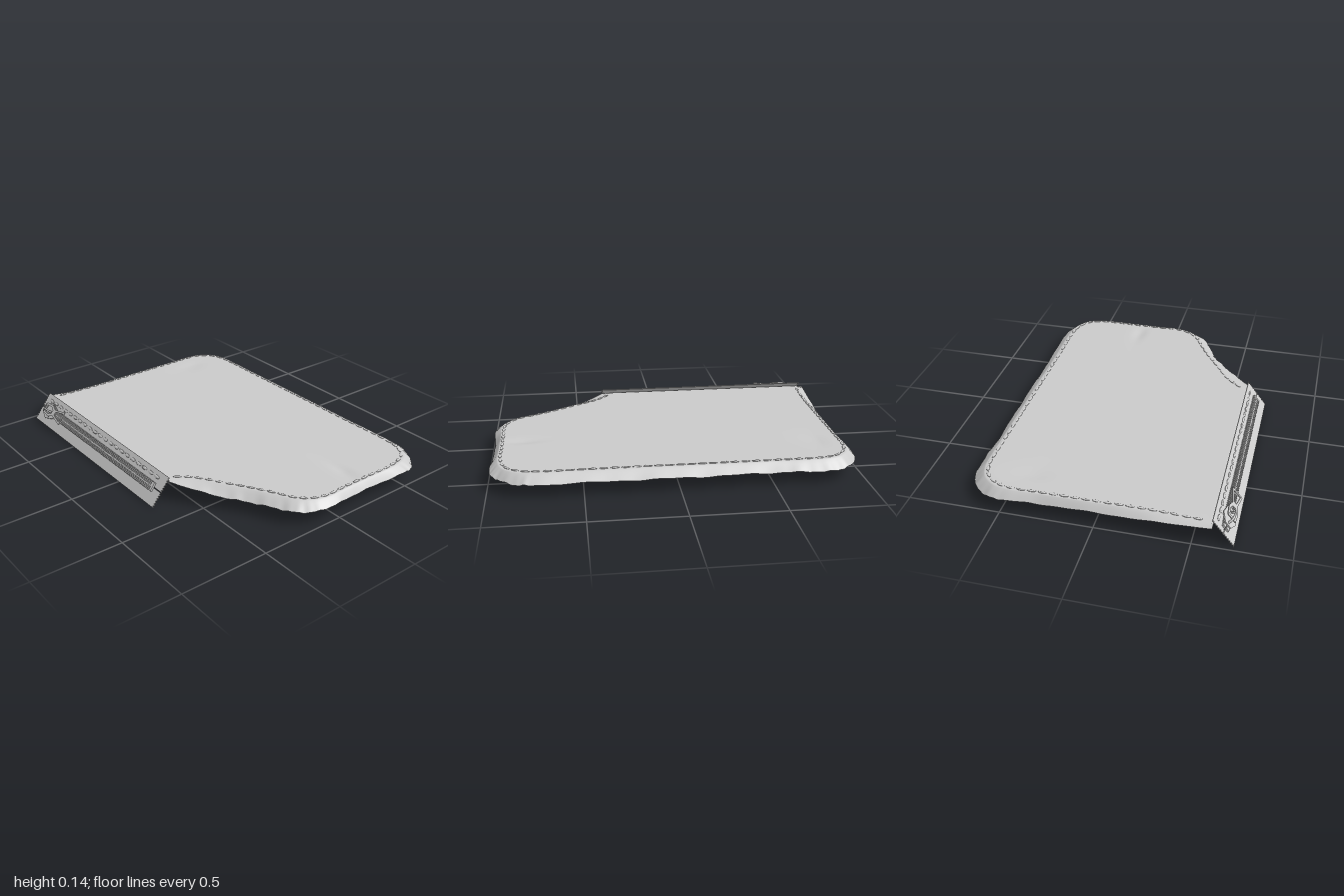
import * as THREE from 'three';

const TOP = 0.121;
const fabric = new THREE.MeshStandardMaterial({ color: 0xcccccc, side: THREE.DoubleSide });
const solid = new THREE.MeshStandardMaterial({ color: 0xcccccc });

// Paired outline points: rim x, rim z, crease x, crease z, rim drop
const OUTLINE = [
  [-0.60, -1.0, -0.60, -0.96, 0.005], [-0.3, -0.987, -0.3, -0.945, 0.03], [0, -0.977, 0, -0.945, 0.042],
  [0.3, -0.977, 0.3, -0.945, 0.045], [0.5, -0.988, 0.47, -0.945, 0.045], [0.58, -0.968, 0.55, -0.925, 0.05],
  [0.66, -0.905, 0.615, -0.87, 0.05], [0.70, -0.82, 0.645, -0.79, 0.053], [0.707, -0.68, 0.65, -0.67, 0.048],
  [0.70, -0.5, 0.65, -0.5, 0.048], [0.704, -0.2, 0.65, -0.2, 0.048], [0.705, 0.1, 0.65, 0.1, 0.048],
  [0.704, 0.4, 0.65, 0.4, 0.048], [0.707, 0.77, 0.65, 0.75, 0.046], [0.685, 0.85, 0.635, 0.83, 0.05],
  [0.62, 0.935, 0.59, 0.9, 0.047], [0.57, 0.978, 0.535, 0.93, 0.042], [0.5, 0.99, 0.45, 0.945, 0.04],
  [0.3, 0.98, 0.28, 0.945, 0.043], [0.1, 0.98, 0.1, 0.945, 0.042], [-0.05, 0.992, -0.05, 0.945, 0.036],
  [-0.15, 0.968, -0.13, 0.915, 0.042], [-0.23, 0.91, -0.185, 0.865, 0.043], [-0.28, 0.82, -0.235, 0.775, 0.046],
  [-0.34, 0.70, -0.30, 0.66, 0.05], [-0.42, 0.59, -0.385, 0.53, 0.045], [-0.52, 0.45, -0.485, 0.38, 0.025],
  [-0.60, 0.335, -0.60, 0.28, 0.002],
];
const curveOf = f => new THREE.CatmullRomCurve3(OUTLINE.map(f), false, 'centripetal');
const rimCurve = curveOf(p => new THREE.Vector3(p[0], TOP - p[4], p[1]));
const creaseCurve = curveOf(p => new THREE.Vector3(p[2], TOP, p[3]));

function add(parent, name, geometry, material = solid) {
  const mesh = new THREE.Mesh(geometry, material);
  mesh.name = name;
  parent.add(mesh);
  return mesh;
}

const N = 220;
const INNER = [0.97, 0.94, 0.91, 0.88, 0.85, 0.8, 0.74, 0.67, 0.58, 0.4, 0.2, 0];

// Rim sample with slight puckers
function rimPoint(i) {
  const p = rimCurve.getPoint(i / N);
  p.y = TOP - (TOP - p.y) * (1 + 0.06 * Math.sin(i * 0.62) + 0.04 * Math.sin(i * 1.37));
  return p;
}

// Skin through nested rings, each closed straight along the zip side
function ringGeometry(rings, faceUp) {
  const W = N + 1, index = [];
  for (let r = 0; r < rings.length - 1; r++) {
    for (let i = 0; i < W; i++) {
      const j = (i + 1) % W, a = r * W + i, b = r * W + j, c = a + W, d = b + W;
      if (faceUp) index.push(a, c, b, b, c, d);
      else index.push(a, b, c, b, d, c);
    }
  }
  const g = new THREE.BufferGeometry().setFromPoints(rings.flat());
  g.setIndex(index);
  g.computeVertexNormals();
  return g;
}
const ring = f => Array.from({ length: N + 1 }, (_, i) => f(i));

// Upper panel: drooping skirt, crease, flat middle with two soft folds
function upperPanel() {
  const dent = (x, z, cx, cz, sx, sz) => Math.exp(-(((x - cx) / sx) ** 2) - ((z - cz) / sz) ** 2);
  const skirt = [0, 0.3, 0.6, 0.85, 1].map(s => ring(i => {
    const a = rimPoint(i), p = a.clone().lerp(creaseCurve.getPoint(i / N), s);
    p.y = TOP - (TOP - a.y) * (1 - s) ** 1.2;
    return p;
  }));
  const middle = INNER.map(k => ring(i => {
    const c = creaseCurve.getPoint(i / N), x = 0.05 + (c.x - 0.05) * k, z = c.z * k;
    return new THREE.Vector3(x, TOP - 0.01 * dent(x, z, 0.2, 0.82, 0.035, 0.09) - 0.007 * dent(x, z, 0.38, -0.8, 0.09, 0.05), z);
  }));
  return ringGeometry([...skirt, ...middle], true);
}

// Lower panel: shares the rim, hollows softly inside it and climbs to the zip
function lowerPanel() {
  return ringGeometry([1, ...INNER].map(k => ring(i => {
    const p = rimPoint(i), x = 0.05 + (p.x - 0.05) * k;
    const belly = TOP - 0.033 * THREE.MathUtils.smoothstep(x, -0.66, -0.36);
    const y = THREE.MathUtils.lerp(p.y, belly, THREE.MathUtils.smoothstep(1 - k, -0.03, 0.12));
    return new THREE.Vector3(x, k === 1 ? p.y : y, p.z * k);
  })), false);
}

// Row of thread stitches following a curve
const stitchGeometry = new THREE.SphereGeometry(1, 10, 6);
function stitches(parent, name, curve, spacing, from = 0, to = 1) {
  const count = Math.round(curve.getLength() * (to - from) / spacing);
  for (let i = 0; i <= count; i++) {
    const u = from + (to - from) * i / count;
    const s = add(parent, name, stitchGeometry);
    s.scale.set(0.009, 0.004, 0.024);
    s.position.copy(curve.getPointAt(u));
    s.quaternion.setFromUnitVectors(new THREE.Vector3(0, 0, 1), curve.getTangentAt(u).setY(0).normalize());
  }
}

// Flat plate: shape y becomes z, thickness runs down from y = 0
function plate(points, depth, holes = []) {
  const vec = list => list.map(p => new THREE.Vector2(p[0], p[1]));
  const shape = new THREE.Shape(vec(points));
  holes.forEach(h => shape.holes.push(new THREE.Path(vec(h))));
  return new THREE.ExtrudeGeometry(shape, { depth, bevelEnabled: false }).rotateX(Math.PI / 2);
}

function createZipper() {
  const zip = new THREE.Group();
  zip.name = 'zipper';
  const z0 = -0.978, z1 = 0.342, half = 0.09, gap = 0.002, steps = 12;

  // Two tape halves with pinked ends, meeting at the centre
  for (const side of [-1, 1]) {
    const pts = [], x = i => side * (gap + (half - gap) * i / steps);
    for (let i = 0; i <= steps; i++) pts.push([x(i), z0 + (i % 2) * 0.012]);
    for (let i = steps; i >= 0; i--) pts.push([x(i), z1 - (i % 2) * 0.012]);
    add(zip, 'zipperTape', plate(pts, 0.004)).position.y = 0.002;
  }

  // Interlocking teeth and stops
  const toothGeometry = new THREE.BoxGeometry(0.03, 0.010, 0.008);
  for (let i = 0; i < 146; i++) {
    add(zip, 'zipperTooth', toothGeometry).position.set((i % 2 ? 1 : -1) * 0.011, 0.007, -0.91 + i * 0.008);
  }
  for (const side of [-1, 1]) {
    add(zip, 'zipperStop', new THREE.BoxGeometry(0.02, 0.012, 0.022)).position.set(side * 0.013, 0.007, -0.925);
  }
  add(zip, 'zipperEndStop', new THREE.BoxGeometry(0.05, 0.012, 0.016)).position.set(0, 0.007, 0.262);

  // Stitch line joining the tape to the fabric
  stitches(zip, 'tapeStitch', new THREE.LineCurve3(new THREE.Vector3(0.056, 0.003, -0.91), new THREE.Vector3(0.056, 0.003, 0.25)), 0.057);

  // Slider: plates above and below the tape
  const body = [[-0.03, -0.79], [-0.052, -0.865], [-0.024, -0.918], [0.024, -0.918], [0.052, -0.865], [0.03, -0.79]];
  add(zip, 'sliderTopPlate', plate(body, 0.007)).position.y = 0.021;
  add(zip, 'sliderBottomPlate', plate(body, 0.007)).position.y = -0.005;
  add(zip, 'sliderPost', new THREE.BoxGeometry(0.012, 0.026, 0.02)).position.set(0, 0.005, -0.895);

  // Bridge that holds the pull
  const bridge = new THREE.CatmullRomCurve3([[0.018, -0.9], [0.046, -0.88], [0.047, -0.84], [0.018, -0.815]]
    .map(([y, z]) => new THREE.Vector3(0, y, z)));
  add(zip, 'sliderBridge', new THREE.TubeGeometry(bridge, 16, 0.006, 8));

  // Pull tab: ring around the bridge, then a flared handle
  const tab = [[-0.032, -0.885], [0.032, -0.885], [0.038, -0.82], [0.02, -0.78], [0.042, -0.68], [-0.042, -0.68], [-0.02, -0.78], [-0.038, -0.82]];
  const eye = [[-0.02, -0.87], [0.02, -0.87], [0.024, -0.825], [0.01, -0.8], [-0.01, -0.8], [-0.024, -0.825]];
  const slot = [[-0.01, -0.765], [0.01, -0.765], [0.028, -0.692], [-0.028, -0.692]];
  add(zip, 'pullTab', plate(tab, 0.006, [eye, slot])).position.set(0.008, 0.042, 0);

  zip.position.set(-0.652, 0.073, 0);
  zip.rotation.z = Math.atan2(0.133, 0.105);
  return zip;
}

export function createModel() {
  const model = new THREE.Group();
  model.name = 'zippedPocket';
  add(model, 'upperPanel', upperPanel(), fabric);
  add(model, 'lowerPanel', lowerPanel(), fabric);

  // Seam just inside the crease
  const seam = curveOf(([, , x, z]) => {
    const inset = 0.012 * THREE.MathUtils.clamp((x - 0.05) / 0.5, -1, 1);
    return new THREE.Vector3(x - inset, TOP + 0.001, z * 0.988);
  });
  const seamGroup = new THREE.Group();
  seamGroup.name = 'seamStitches';
  stitches(seamGroup, 'seamStitch', seam, 0.057, 0.015, 0.985);
  model.add(seamGroup);

  model.add(createZipper());
  return model;
}
